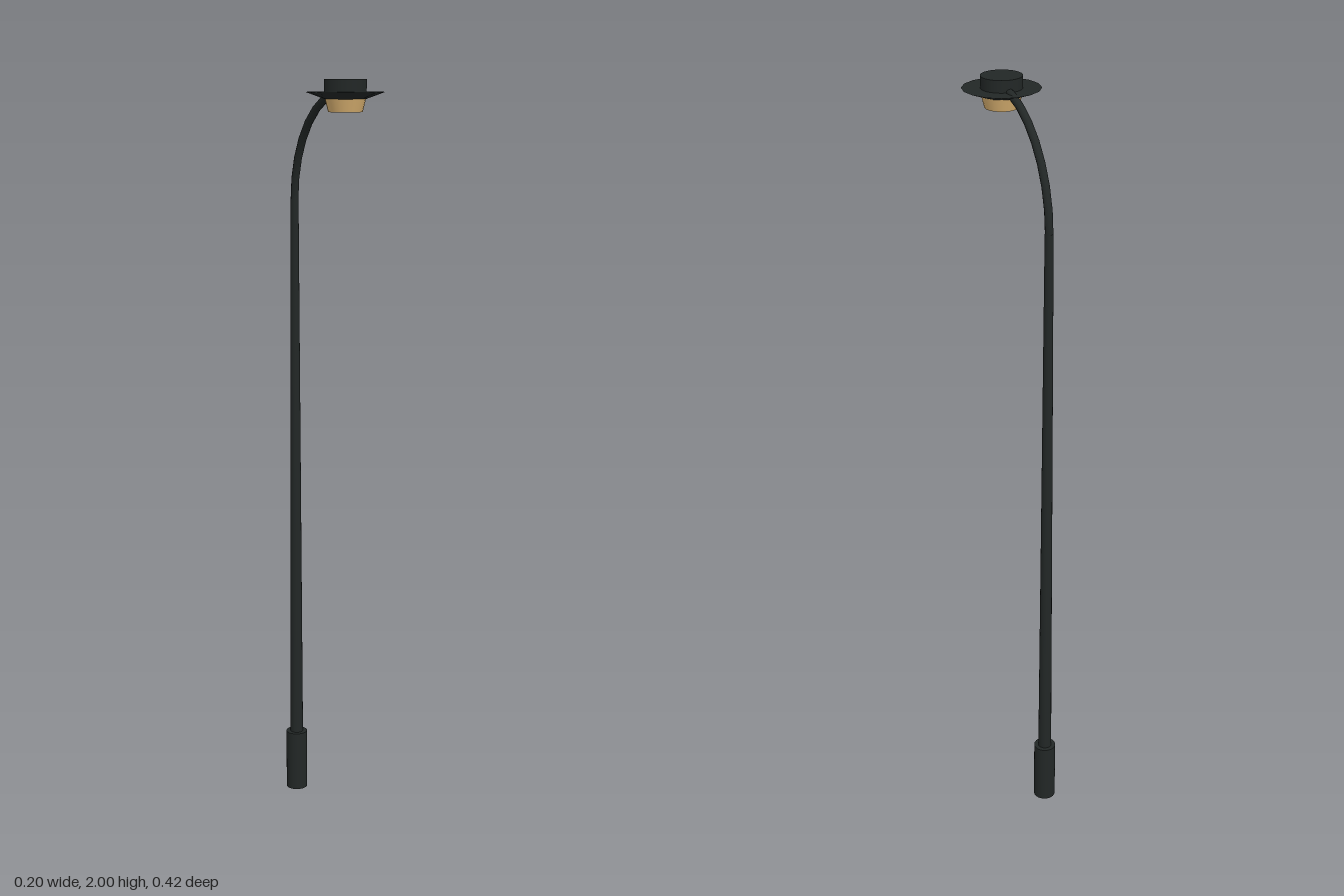
import * as THREE from 'three';

export function createModel() {
  const group = new THREE.Group();
  const dark = new THREE.MeshStandardMaterial({ color: 0x222726 });
  const glow = new THREE.MeshStandardMaterial({ color: 0xd8b070 });
  const poleZ = -0.18, lampZ = 0.108, bendY = 1.685;
  const bendR = lampZ - poleZ;

  function add(name, geometry, material) {
    const mesh = new THREE.Mesh(geometry, material);
    mesh.name = name;
    group.add(mesh);
    return mesh;
  }

  // Upright round part between two heights
  function column(name, rTop, rBottom, y0, y1, z, sides, material = dark) {
    const geometry = new THREE.CylinderGeometry(rTop, rBottom, y1 - y0, sides);
    add(name, geometry, material).position.set(0, (y0 + y1) / 2, z);
  }

  // Base sleeve and tapered pole
  column('base', 0.0295, 0.0295, 0, 0.17, poleZ, 24);
  column('pole', 0.0108, 0.018, 0.17, bendY, poleZ, 16);

  // Quarter-circle arm bending forward to the lamp
  class ArmCurve extends THREE.Curve {
    getPoint(t, target = new THREE.Vector3()) {
      const a = t * Math.PI / 2;
      return target.set(0, bendY + bendR * Math.sin(a), lampZ - bendR * Math.cos(a));
    }
  }
  add('arm', new THREE.TubeGeometry(new ArmCurve(), 8, 0.0105, 10), dark);

  // Lamp head: cap, saucer shade and tapered light
  column('lampCap', 0.053, 0.053, 1.965, 2, lampZ, 32);
  column('shade', 0.1, 0.053, 1.952, 1.969, lampZ, 16);
  column('light', 0.052, 0.043, 1.92, 1.955, lampZ, 24, glow);

  return group;
}
